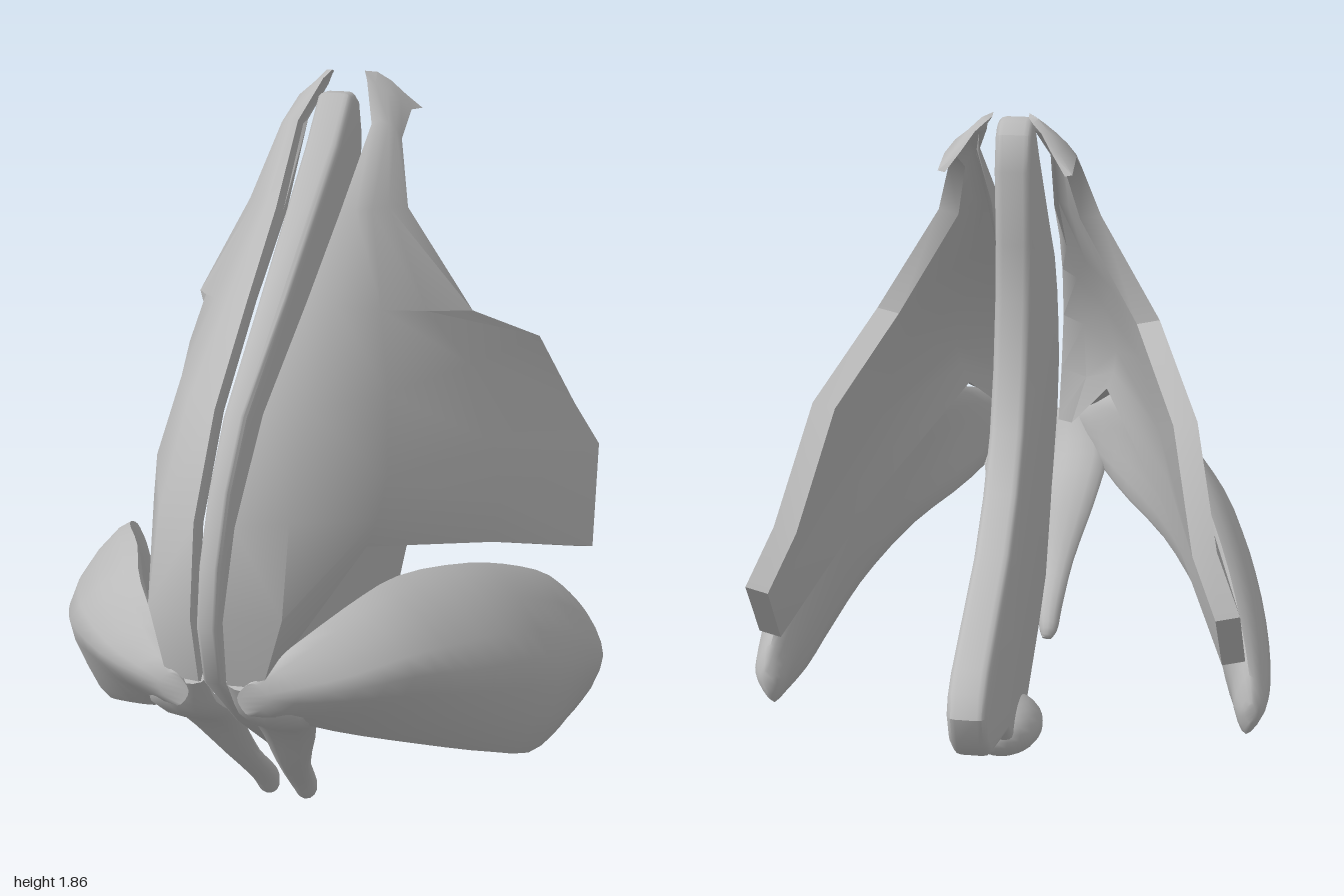
import * as THREE from 'three';
import { toCreasedNormals } from 'three/addons/utils/BufferGeometryUtils.js';

const cartilage = new THREE.MeshStandardMaterial({ color: 0xbababa });
cartilage.name = 'cartilage grey';

// Solid through a row of closed rings (even point count); ends are closed by strips.
function loft(rings, crease) {
  const n = rings[0].length, last = rings.length - 1, index = [];
  const quad = (a, b, c, d) => index.push(a, b, c, a, c, d);
  for (let r = 0; r < last; r++)
    for (let i = 0; i < n; i++) {
      const j = (i + 1) % n;
      quad(r * n + i, r * n + j, (r + 1) * n + j, (r + 1) * n + i);
    }
  for (let i = 0; i < n / 2 - 1; i++) {
    const e = last * n;
    quad(n - 1 - i, n - 2 - i, i + 1, i);
    quad(e + i, e + i + 1, e + n - 2 - i, e + n - 1 - i);
  }
  const pts = rings.flat();
  // Turn the faces outward, whichever way the rings run
  let volume = 0;
  for (let k = 0; k < index.length; k += 3)
    volume += pts[index[k]].dot(pts[index[k + 1]].clone().cross(pts[index[k + 2]]));
  if (volume < 0) index.reverse();
  const g = new THREE.BufferGeometry().setFromPoints(pts);
  g.setIndex(index);
  return toCreasedNormals(g, crease);
}

// Resample rings lengthwise along smooth curves
function refine(rings, steps) {
  const curves = rings[0].map((_, i) => new THREE.CatmullRomCurve3(rings.map(r => r[i])));
  return Array.from({ length: steps + 1 }, (_, k) => curves.map(c => c.getPoint(k / steps)));
}

function add(parent, name, geometry) {
  const mesh = new THREE.Mesh(geometry, cartilage);
  mesh.name = name;
  parent.add(mesh);
  return mesh;
}

// Central plate, profile as [z, y]
function septum() {
  const profile = [
    [0.03, 1.815], [0.14, 1.7], [0.52, 1.385], [0.79, 1.17], [0.9, 1.02], [0.97, 0.86], [0.995, 0.72],
    [0.96, 0.57], [0.75, 0.37], [0.5, 0.18], [0.2, 0.17], [-0.1, 0.14], [-0.24, 0.08], [-0.32, 0.1],
    [-0.42, 0.2], [-0.56, 0.34], [-0.9, 0.51], [-0.97, 0.59], [-1, 0.68], [-0.97, 0.73], [-0.91, 0.76],
    [-0.5, 0.84], [-0.33, 0.92], [-0.2, 1.03], [-0.12, 1.18], [-0.075, 1.35], [-0.06, 1.5],
    [-0.075, 1.7], [-0.05, 1.79], [-0.01, 1.815]];
  const shape = new THREE.Shape(profile.map(([z, y]) => new THREE.Vector2(z, y)));
  const g = new THREE.ExtrudeGeometry(shape, {
    depth: 0.05, bevelThickness: 0.02, bevelSize: 0.02, bevelOffset: -0.02, bevelSegments: 3 });
  g.translate(0, 0, -0.025);
  g.rotateY(-Math.PI / 2);
  // Thinner towards the front tip
  const p = g.attributes.position;
  for (let i = 0; i < p.count; i++)
    p.setX(i, p.getX(i) * (1.05 - 0.45 * THREE.MathUtils.smoothstep(p.getZ(i), 0, 1)));
  g.deleteAttribute('uv');
  g.deleteAttribute('normal');
  return toCreasedNormals(g, 0.75);
}

// Upper side plate: rows run from the hook down; columns from the dorsal edge to the back edge
function upperPlate(s) {
  const rows = [
    [[0.045, 1.86, -0.09], [0.07, 1.855, -0.12], [0.1, 1.83, -0.15], [0.13, 1.79, -0.19], [0.165, 1.75, -0.23]],
    [[0.06, 1.84, -0.06], [0.08, 1.83, -0.07], [0.11, 1.81, -0.08], [0.14, 1.79, -0.1], [0.165, 1.76, -0.12]],
    [[0.1, 1.74, 0.03], [0.12, 1.75, 0.02], [0.14, 1.74, 0.01], [0.155, 1.73, 0], [0.17, 1.7, -0.01]],
    [[0.085, 1.55, 0.25], [0.12, 1.55, 0.23], [0.15, 1.55, 0.19], [0.18, 1.55, 0.14], [0.215, 1.54, 0.085]],
    [[0.075, 1.37, 0.49], [0.14, 1.36, 0.45], [0.22, 1.33, 0.34], [0.3, 1.3, 0.2], [0.38, 1.27, 0.04]],
    [[0.06, 1.17, 0.76], [0.15, 1.17, 0.7], [0.27, 1.15, 0.45], [0.39, 1.14, 0.1], [0.495, 1.13, -0.28]],
    [[0.05, 0.95, 0.93], [0.16, 0.95, 0.87], [0.3, 0.97, 0.55], [0.45, 0.93, 0.08], [0.56, 0.88, -0.5]],
    [[0.04, 0.74, 0.99], [0.165, 0.74, 0.94], [0.29, 0.88, 0.6], [0.48, 0.77, 0.1], [0.625, 0.74, -0.57]],
    [[0.035, 0.57, 0.96], [0.12, 0.57, 0.95], [0.27, 0.815, 0.62], [0.47, 0.67, 0.13], [0.65, 0.49, -0.38]]];
  const inward = [[0, -0.02, -0.06], [-0.04, -0.02, -0.07], [-0.06, 0, -0.04], [-0.06, 0, -0.02], [-0.06, -0.01, -0.01]];
  const rings = rows.map((row, r) => {
    const t = Math.min(1, 0.3 + r * 0.2);
    const outer = row.map(([x, y, z]) => new THREE.Vector3(s * x, y, z));
    const inner = outer.map((p, i) => {
      const [x, y, z] = inward[i];
      return p.clone().add(new THREE.Vector3(s * x, y, z).multiplyScalar(t));
    });
    return [...outer, ...inner.reverse()];
  });
  return loft(rings, 0.9);
}

// Lower side lobe: sections along z as [z, topX, topY, outerX, outerY, bottomX, bottomY, thickness]
function lowerLobe(s) {
  const sections = [
    [0.96, 0.1, 0.585, 0.14, 0.55, 0.09, 0.5, 0.08],
    [0.88, 0.17, 0.65, 0.31, 0.56, 0.14, 0.46, 0.19],
    [0.75, 0.27, 0.72, 0.45, 0.56, 0.25, 0.38, 0.2],
    [0.6, 0.34, 0.74, 0.54, 0.52, 0.4, 0.3, 0.18],
    [0.4, 0.45, 0.71, 0.63, 0.47, 0.53, 0.2, 0.16],
    [0.2, 0.53, 0.64, 0.69, 0.39, 0.61, 0.115, 0.15],
    [0, 0.6, 0.54, 0.725, 0.31, 0.64, 0.105, 0.14],
    [-0.15, 0.65, 0.41, 0.73, 0.25, 0.67, 0.12, 0.11],
    [-0.22, 0.67, 0.33, 0.715, 0.24, 0.67, 0.15, 0.08],
    [-0.245, 0.68, 0.27, 0.69, 0.24, 0.68, 0.2, 0.03]];
  const rings = sections.map(([z, tx, ty, ox, oy, bx, by, w]) => {
    const v = (x, y) => new THREE.Vector3(s * x, y, z);
    const loop = new THREE.CatmullRomCurve3([v(tx, ty), v(ox, oy), v(bx, by), v(ox - w, (ty + by) / 2)], true);
    return loop.getPoints(16).slice(0, 16);
  });
  return loft(refine(rings, 24), 1.0);
}

// Inner strut: stations as [y, z, inner x, outer x, half thickness]
function strut(s) {
  const stations = [
    [0.57, 0.94, 0.025, 0.13, 0.02], [0.48, 0.875, 0.025, 0.2, 0.04], [0.38, 0.74, 0.02, 0.18, 0.03],
    [0.2, 0.59, 0.02, 0.115, 0.025], [0.09, 0.48, 0.015, 0.09, 0.03], [0.035, 0.435, 0.025, 0.08, 0.03],
    [0.015, 0.42, 0.035, 0.065, 0.015]];
  const rings = stations.map(([y, z, x0, x1, h]) => Array.from({ length: 12 }, (_, i) => {
    const a = i / 12 * Math.PI * 2, d = Math.sin(a) * h;
    return new THREE.Vector3(s * ((x0 + x1) / 2 + Math.cos(a) * (x1 - x0) / 2), y - d * 0.7, z + d * 0.7);
  }));
  return loft(refine(rings, 18), 1.0);
}

export function createModel() {
  const model = new THREE.Group();
  model.name = 'nasalCartilage';
  add(model, 'septum', septum());

  // Flare at the foot of the septum
  const flare = add(model, 'septumFlare', new THREE.SphereGeometry(1, 20, 14));
  flare.scale.set(0.11, 0.085, 0.2);
  flare.position.set(0, 0.19, -0.3);
  flare.rotation.x = 0.42;

  for (const [side, s] of [['left', 1], ['right', -1]]) {
    add(model, side + 'UpperPlate', upperPlate(s));
    add(model, side + 'LowerLobe', lowerLobe(s));
    add(model, side + 'Strut', strut(s));
  }
  return model;
}
